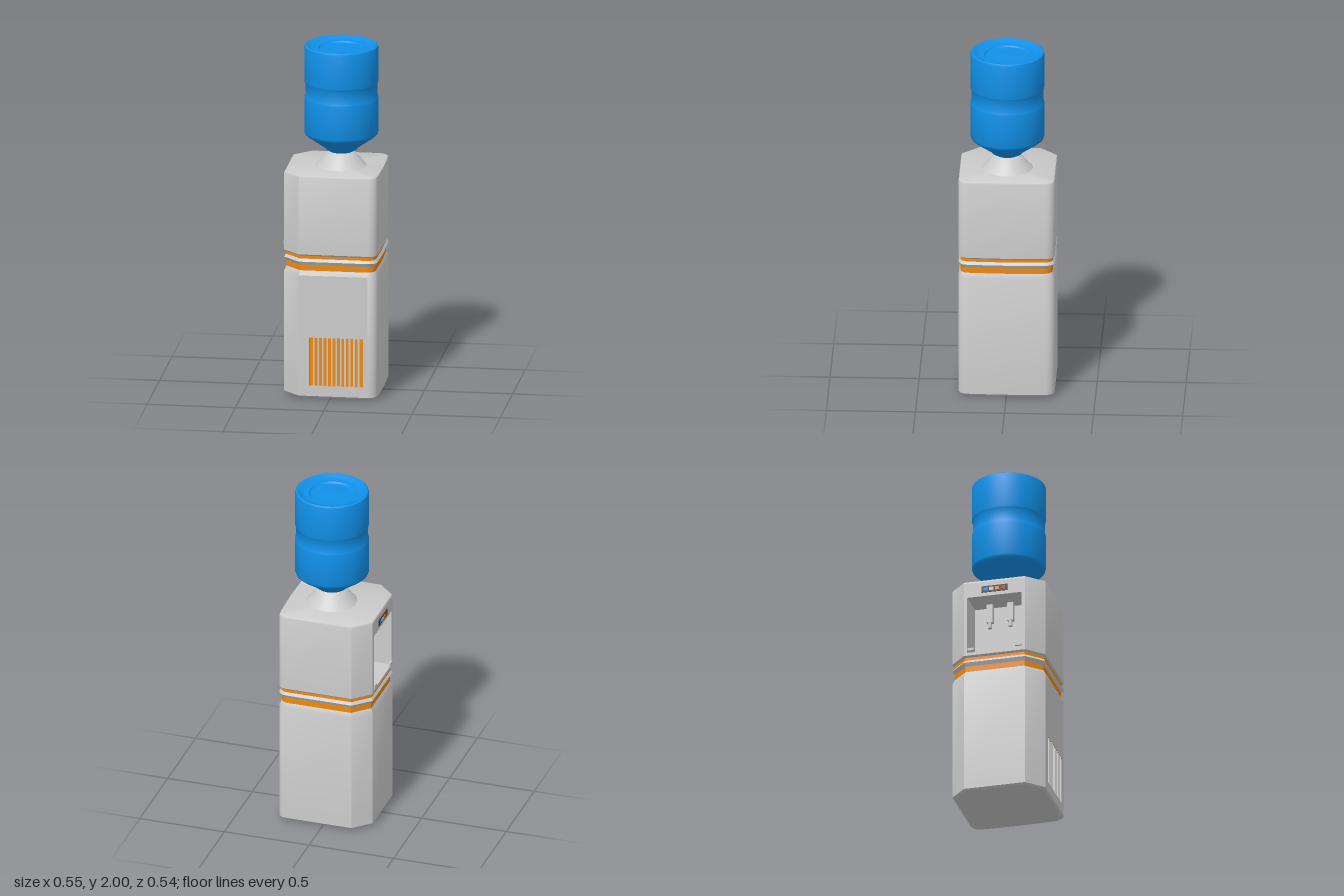
import * as THREE from 'three';
import { toCreasedNormals } from 'three/addons/utils/BufferGeometryUtils.js';

const mat = (color, side = THREE.FrontSide) => {
  const m = new THREE.MeshStandardMaterial({ color });
  m.side = side;
  return m;
};
const grey = mat(0xcccccc), orange = mat(0xf08a10), blue = mat(0x1090e8);
const dark = mat(0x444444), red = mat(0xd03020);

function add(parent, name, geometry, material, x = 0, y = 0, z = 0) {
  const mesh = new THREE.Mesh(geometry, material);
  mesh.name = name;
  mesh.position.set(x, y, z);
  parent.add(mesh);
  return mesh;
}

// Cabinet plan [x, z]: bowed side, rounded corners, chamfers beside the dispenser
function cabinetOutline() {
  const half = [[0.272, 0], [0.27, -0.1], [0.267, -0.19]];
  for (let i = 0; i <= 6; i++) {
    const a = (i / 6) * Math.PI / 2;
    half.push([0.215 + 0.05 * Math.cos(a), -0.22 - 0.05 * Math.sin(a)]);
  }
  half.push([-0.175, -0.27], [-0.27, -0.178]);
  return [...half, ...half.slice(1).reverse().map(([x, z]) => [x, -z])];
}
const outline = cabinetOutline();
const DISPENSER_WALL = 11, GRILLE_WALL = 13;

// Skin through rows of [height, inset]; one wall may be left open between two rows
function loft(rows, openRow = -1, openWall = -1) {
  const pos = [];
  const point = ([y, inset], i) => {
    const [x, z] = outline[i % outline.length], s = 1 - inset / 0.27;
    return [x * s, y, z * s];
  };
  for (let r = 0; r < rows.length - 1; r++) {
    for (let i = 0; i < outline.length; i++) {
      if (r === openRow && i === openWall) continue;
      const a = point(rows[r], i), b = point(rows[r], i + 1);
      const c = point(rows[r + 1], i + 1), d = point(rows[r + 1], i);
      pos.push(...a, ...b, ...c, ...a, ...c, ...d);
    }
  }
  const g = new THREE.BufferGeometry();
  g.setAttribute('position', new THREE.Float32BufferAttribute(pos, 3));
  return toCreasedNormals(g, 0.6);
}

function rect(Type, x0, y0, x1, y1) {
  return new Type([[x0, y0], [x1, y0], [x1, y1], [x0, y1]].map(p => new THREE.Vector2(...p)));
}

// Flat wall with a rectangular opening
function wallWithOpening(wall, opening) {
  const shape = rect(THREE.Shape, ...wall);
  shape.holes.push(rect(THREE.Path, ...opening));
  return new THREE.ShapeGeometry(shape);
}

// Inside of a box, open towards +z, with its mouth on z = 0
function recess([x0, y0, x1, y1], depth) {
  const g = new THREE.BoxGeometry(x1 - x0, y1 - y0, depth);
  g.translate((x0 + x1) / 2, (y0 + y1) / 2, -depth / 2);
  const idx = Array.from(g.index.array);
  idx.splice(24, 6);
  g.setIndex(idx.reverse());
  const flat = g.toNonIndexed();
  flat.computeVertexNormals();
  return flat;
}

function lathe(points, segments = 64) {
  const g = new THREE.LatheGeometry(points.map(p => new THREE.Vector2(...p)), segments);
  return toCreasedNormals(g, 0.6);
}

function makeGrille() {
  const group = new THREE.Group();
  group.name = 'ventGrille';
  group.position.z = 0.27;
  const hole = [-0.115, 0.08, 0.19, 0.36];
  add(group, 'grilleWall', wallWithOpening([-0.175, 0.02, 0.215, 0.72], hole), grey);
  add(group, 'grilleRecess', recess(hole, 0.012), orange);
  const count = 12, pitch = (hole[2] - hole[0]) / count;
  for (let i = 1; i < count; i++) {
    add(group, 'grilleSlat', new THREE.BoxGeometry(0.009, 0.28, 0.012), grey, hole[0] + i * pitch, 0.22, -0.006);
  }
  return group;
}

function makeDispenser() {
  const group = new THREE.Group();
  group.name = 'dispenser';
  group.position.x = -0.27;
  group.rotation.y = -Math.PI / 2;
  const hole = [-0.158, 0.86, 0.158, 1.2];
  add(group, 'dispenserWall', wallWithOpening([-0.178, 0.842, 0.178, 1.288], hole), grey);
  add(group, 'niche', recess(hole, 0.17), grey);

  // Perforated drip tray
  const tray = rect(THREE.Shape, -0.155, -0.165, 0.155, 0);
  for (let i = 0; i < 11; i++) {
    for (let j = 0; j < 6; j++) {
      tray.holes.push(new THREE.Path().absarc(-0.13 + i * 0.026, -0.148 + j * 0.026, 0.008, 0, Math.PI * 2, true));
    }
  }
  const trayGeo = new THREE.ExtrudeGeometry(tray, { depth: 0.01, bevelEnabled: false, curveSegments: 4 });
  trayGeo.rotateX(-Math.PI / 2);
  trayGeo.scale(1, 1, -1);
  // Mirroring flips the faces, so restore their order
  for (const attr of Object.values(trayGeo.attributes)) {
    const n = attr.itemSize, a = attr.array;
    for (let t = 0; t < attr.count; t += 3) {
      for (let k = 0; k < n; k++) {
        const p = (t + 1) * n + k, q = (t + 2) * n + k;
        [a[p], a[q]] = [a[q], a[p]];
      }
    }
  }
  trayGeo.computeVertexNormals();
  add(group, 'dripTray', trayGeo, grey, 0, 0.875, -0.166);

  // Taps and tray clips on both sides
  for (const s of [-1, 1]) {
    add(group, 'tapBody', new THREE.BoxGeometry(0.035, 0.11, 0.03), grey, s * 0.06, 1.145, -0.13);
    add(group, 'tapSpout', new THREE.CylinderGeometry(0.01, 0.012, 0.04, 16), grey, s * 0.06, 1.075, -0.125);
    add(group, 'trayClip', new THREE.BoxGeometry(0.036, 0.015, 0.012), grey, s * 0.138, 0.878, 0);
  }

  // Control panel with buttons
  add(group, 'controlPanel', new THREE.BoxGeometry(0.15, 0.038, 0.008), dark, 0, 1.24, 0);
  [blue, grey, orange, red].forEach((m, i) => {
    add(group, 'button', new THREE.BoxGeometry(0.024, 0.02, 0.004), m, -0.051 + i * 0.034, 1.24, 0.004);
  });
  return group;
}

export function createModel() {
  const model = new THREE.Group();
  model.name = 'waterDispenser';

  // Cabinet with its grooved, striped waist
  add(model, 'lowerCabinet',
    loft([[0, 0.27], [0, 0.09], [0.01, 0.01], [0.02, 0], [0.72, 0], [0.747, 0.012]], 3, GRILLE_WALL), grey);
  add(model, 'lowerStripe', loft([[0.747, 0.012], [0.78, 0.012]]), orange);
  add(model, 'waistRidge', loft([[0.78, 0.012], [0.8, 0], [0.816, 0.01]]), grey);
  add(model, 'upperStripe', loft([[0.816, 0.01], [0.833, 0.01]]), orange);
  add(model, 'upperCabinet',
    loft([[0.833, 0.01], [0.842, 0], [1.288, 0], [1.296, 0.003], [1.3, 0.01], [1.3, 0.27]], 1, DISPENSER_WALL), grey);
  model.add(makeGrille(), makeDispenser());

  // Collar that holds the bottle
  add(model, 'collar',
    lathe([[0.145, 1.298], [0.135, 1.308], [0.105, 1.342], [0.075, 1.378], [0.068, 1.382], [0.05, 1.375]]),
    grey, 0.03, 0, 0.003);

  // Upturned bottle
  add(model, 'bottle', lathe([
    [0, 1.36], [0.064, 1.36], [0.067, 1.382], [0.085, 1.392], [0.1, 1.408], [0.19, 1.472], [0.203, 1.483], [0.208, 1.497],
    [0.208, 1.69], [0.206, 1.7], [0.202, 1.71], [0.202, 1.775], [0.206, 1.783], [0.208, 1.793],
    [0.208, 1.985], [0.205, 1.995], [0.198, 2], [0.188, 1.998], [0.175, 1.988], [0.155, 1.984],
    [0.13, 1.984], [0.122, 1.976], [0.105, 1.974], [0.05, 1.982], [0, 1.984],
  ]), blue, 0.03, 0, 0.003);

  return model;
}
